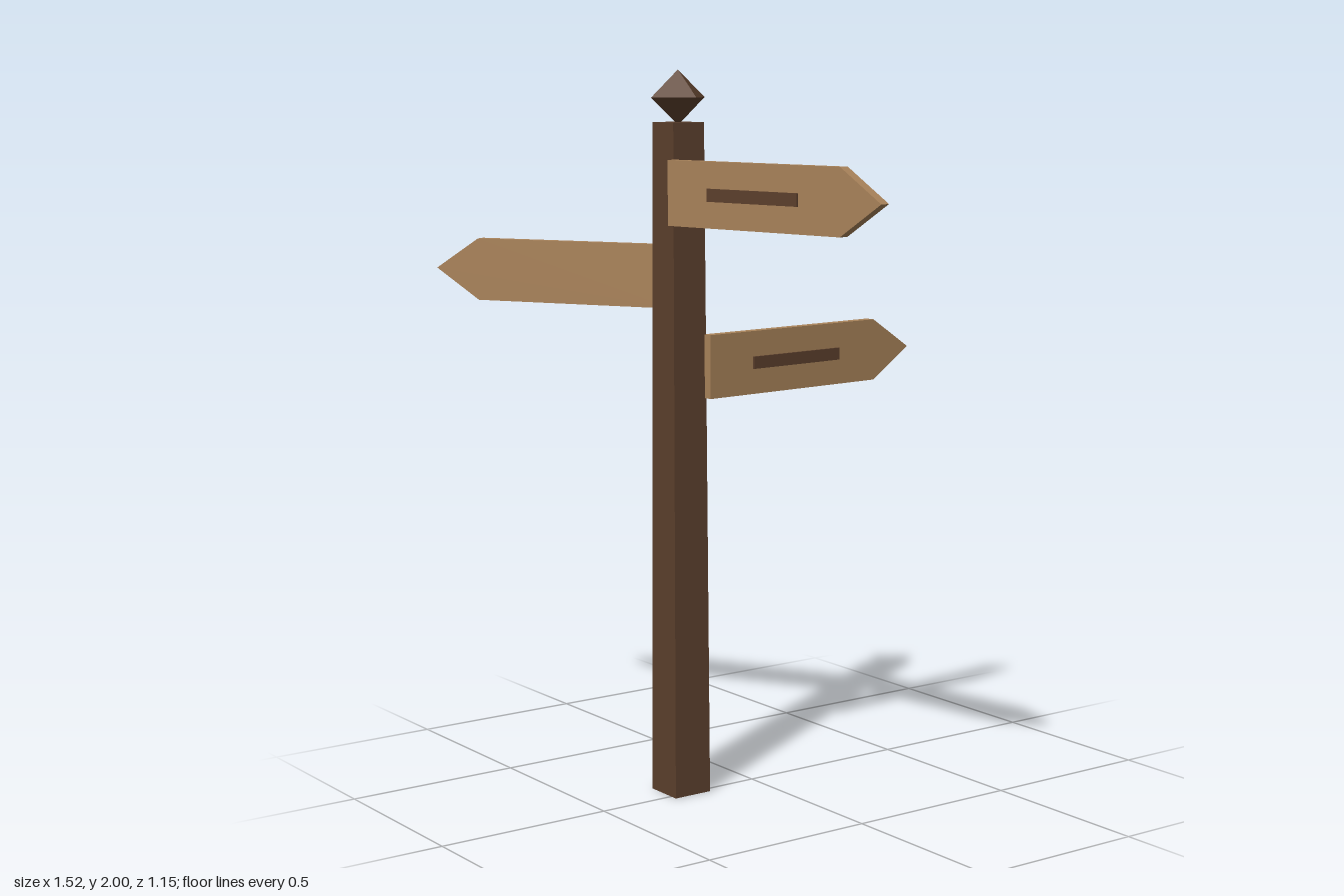
import * as THREE from 'three';

export function createModel() {
  const model = new THREE.Group();
  model.name = 'signpost';

  const mat = (name, color) => {
    const m = new THREE.MeshStandardMaterial({ color, flatShading: true });
    m.name = name;
    return m;
  };
  const darkWood = mat('dark wood', 0x5c402d);
  const lightWood = mat('light wood', 0xa9835a);

  const add = (parent, name, geometry, material) => {
    const mesh = new THREE.Mesh(geometry, material);
    mesh.name = name;
    parent.add(mesh);
    return mesh;
  };

  // Everything hangs off the post axis
  const stand = new THREE.Group();
  stand.name = 'stand';
  stand.position.set(-0.035, 0, 0.22);
  model.add(stand);

  // Square, slightly tapered post
  const postHeight = 1.86;
  const post = new THREE.CylinderGeometry(0.05 * Math.SQRT2, 0.058 * Math.SQRT2, postHeight, 4);
  post.rotateY(Math.PI / 4).translate(0, postHeight / 2, 0);
  add(stand, 'post', post, darkWood);

  // Squashed octahedral finial
  const finial = new THREE.OctahedronGeometry(0.087);
  finial.scale(1, 0.85, 1).translate(0, 1.926, 0);
  add(stand, 'finial', finial, darkWood);

  // Pointed board, from its square end at x = 0 to its tip
  const length = 0.75, shoulder = 0.614, half = 0.0875, thickness = 0.029;
  const outline = new THREE.Shape([
    new THREE.Vector2(0, -half),
    new THREE.Vector2(shoulder, -half),
    new THREE.Vector2(length, 0),
    new THREE.Vector2(shoulder, half),
    new THREE.Vector2(0, half),
  ]);
  const board = new THREE.ExtrudeGeometry(outline, { depth: thickness, bevelEnabled: false });
  board.translate(0.043, 0, 0.053);

  // Dark strip on the face of each board
  const strip = new THREE.BoxGeometry(0.32, 0.034, 0.012);
  strip.translate(0.356, 0, 0.083);

  // Three arms turned about the post at different heights
  [['upperArm', 1.675, 10], ['middleArm', 1.437, 210], ['lowerArm', 1.2, 95]].forEach(([name, y, degrees]) => {
    const arm = new THREE.Group();
    arm.name = name;
    arm.position.y = y;
    arm.rotation.y = THREE.MathUtils.degToRad(degrees);
    add(arm, 'board', board, lightWood);
    add(arm, 'strip', strip, darkWood);
    stand.add(arm);
  });

  return model;
}
